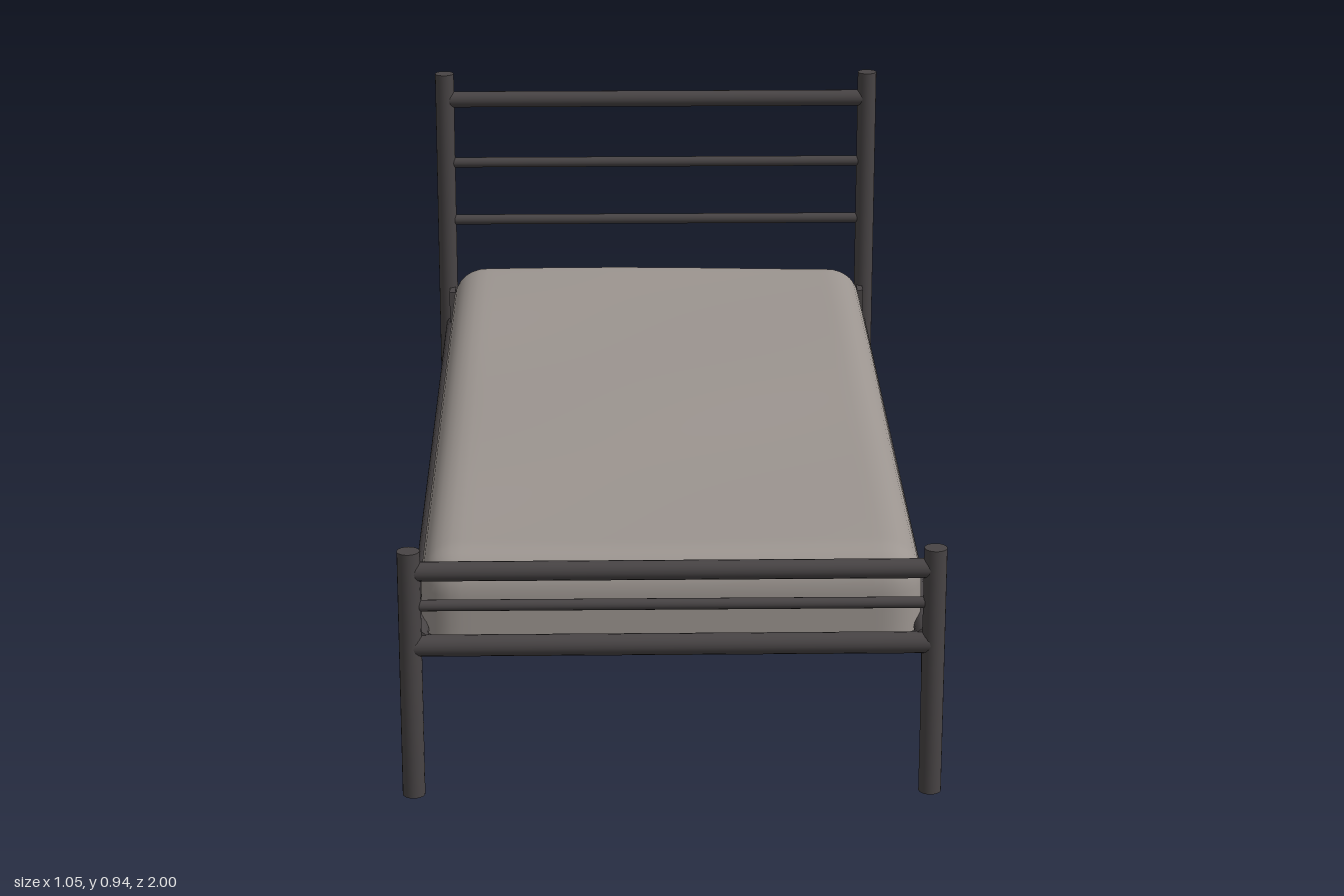
import * as THREE from 'three';
import { mergeVertices } from 'three/addons/utils/BufferGeometryUtils.js';

const steel = new THREE.MeshStandardMaterial({ color: 0x484445 });
steel.name = 'dark steel';
const fabric = new THREE.MeshStandardMaterial({ color: 0x9c9590 });
fabric.name = 'grey fabric';

const POST_X = 0.501, POST_Z = 0.977, POST_R = 0.022;

export function createModel() {
  const bed = new THREE.Group();
  bed.name = 'bed';

  const add = (name, geometry, material, x = 0, y = 0, z = 0) => {
    const mesh = new THREE.Mesh(geometry, material);
    mesh.name = name;
    mesh.position.set(x, y, z);
    bed.add(mesh);
    return mesh;
  };

  // Tube running along x between the two posts of one end
  const crossRail = (name, y, z, r) => {
    add(name, new THREE.CylinderGeometry(r, r, POST_X * 2, 16), steel, 0, y, z).rotation.z = Math.PI / 2;
  };

  // Headboard and footboard rails: [height, radius]
  [[0.877, 0.019], [0.722, 0.012], [0.58, 0.012]].forEach(([y, r]) => crossRail('headboardRail', y, -POST_Z, r));
  [[0.465, 0.019], [0.395, 0.011]].forEach(([y, r]) => crossRail('footboardRail', y, POST_Z, r));
  crossRail('headBaseRail', 0.312, -POST_Z, 0.021);
  crossRail('footBaseRail', 0.312, POST_Z, 0.021);

  // Triangular brace under the side rail, in the z-y plane
  const braceShape = new THREE.Shape();
  braceShape.moveTo(0.962, 0.32);
  braceShape.lineTo(0.905, 0.32);
  braceShape.lineTo(0.91, 0.295);
  braceShape.lineTo(0.945, 0.235);
  braceShape.lineTo(0.962, 0.23);
  const braceGeometry = new THREE.ExtrudeGeometry(braceShape, { depth: 0.02, bevelEnabled: false });
  braceGeometry.translate(0, 0, -0.01);

  for (const side of [-1, 1]) {
    for (const end of [-1, 1]) {
      // Tall posts at the head, short ones at the foot
      const height = end < 0 ? 0.94 : 0.507;
      add(end < 0 ? 'headPost' : 'footPost', new THREE.CylinderGeometry(POST_R, POST_R, height, 20),
        steel, side * POST_X, height / 2, end * POST_Z);
      add('cornerBrace', braceGeometry, steel, side * 0.492).rotation.y = -end * Math.PI / 2;
    }
    add('sideRail', new THREE.CylinderGeometry(0.02, 0.02, POST_Z * 2, 16), steel, side * 0.487, 0.322, 0)
      .rotation.x = Math.PI / 2;
    // Upright plate that ties the rail to the head post
    add('headPlate', new THREE.BoxGeometry(0.014, 0.085, 0.045), steel, side * 0.49, 0.372, -0.942);
  }

  // Flat base under the mattress
  add('bedBase', new THREE.BoxGeometry(0.97, 0.01, 1.945), steel, 0, 0.309, 0);
  add('mattress', mattressGeometry(), fabric);
  return bed;
}

// Soft rounded block with a gently uneven top
function mattressGeometry() {
  const half = new THREE.Vector3(0.484, 0.14, 0.953);
  const radius = 0.075;
  let geometry = new THREE.BoxGeometry(half.x * 2, half.y * 2, half.z * 2, 48, 14, 96);
  geometry.deleteAttribute('uv');
  geometry.deleteAttribute('normal');
  geometry = mergeVertices(geometry);
  const pos = geometry.attributes.position;
  const p = new THREE.Vector3(), core = new THREE.Vector3();
  const inner = half.clone().subScalar(radius), outer = inner.clone().negate();
  for (let i = 0; i < pos.count; i++) {
    p.fromBufferAttribute(pos, i);
    core.copy(p).clamp(outer, inner);
    p.sub(core).setLength(radius).add(core);
    // Ripple only the upper part, and keep the bottom flat on the base
    const lift = Math.max(0, p.y / half.y);
    const ripple = 0.004 * Math.sin(p.z * 5.5 + 0.8) * Math.cos(p.x * 5 + 0.6) - 0.003 * p.x;
    p.y = Math.max(0.315, p.y + 0.342 + lift * ripple);
    pos.setXYZ(i, p.x, p.y, p.z);
  }
  geometry.computeVertexNormals();
  return geometry;
}
